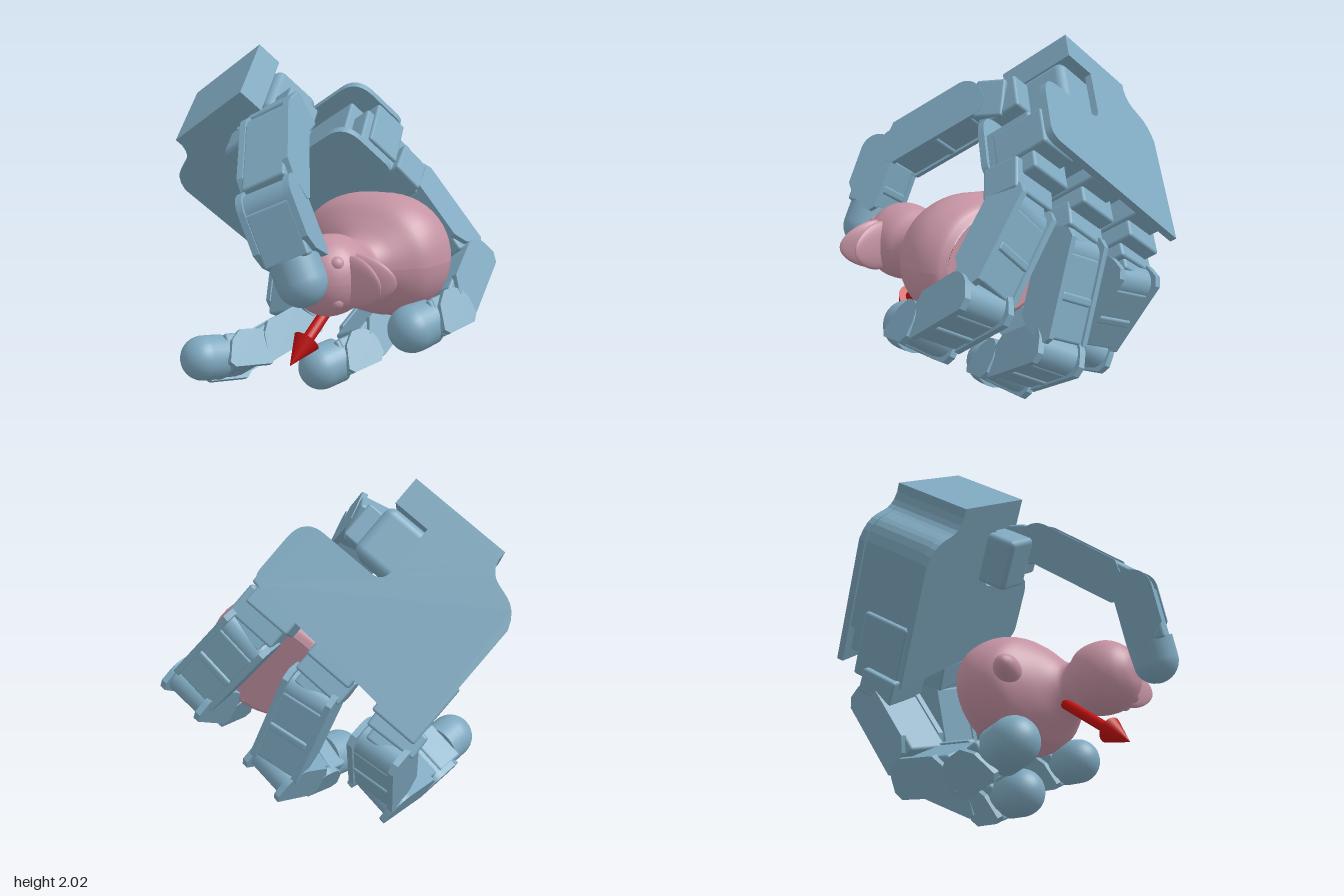
import * as THREE from 'three';
import { RoundedBoxGeometry } from 'three/addons/geometries/RoundedBoxGeometry.js';

const V = (x, y, z) => new THREE.Vector3(x, y, z);
const blue = new THREE.MeshStandardMaterial({ color: 0x7fa9c0 });
const pink = new THREE.MeshStandardMaterial({ color: 0xc593a3 });
const red = new THREE.MeshStandardMaterial({ color: 0xc01010 });

// Hand axes: lateral, towards the wrist, out of the palm
const lateral = V(0.845, 0.534, 0).normalize();
const palmOut = V(0.326, -0.515, 0.79).normalize();
const wristward = palmOut.clone().cross(lateral).normalize();
const thumbHinge = V(0.82, 0.45, -0.33).normalize();

function add(parent, name, geometry, material, x = 0, y = 0, z = 0) {
  const mesh = new THREE.Mesh(geometry, material);
  mesh.name = name;
  mesh.position.set(x, y, z);
  parent.add(mesh);
  return mesh;
}

// Box given by its min and max corners
function span(parent, name, [x0, x1], [y0, y1], [z0, z1], r = 0.015) {
  const geometry = new RoundedBoxGeometry(x1 - x0, y1 - y0, z1 - z0, 2, r);
  return add(parent, name, geometry, blue, (x0 + x1) / 2, (y0 + y1) / 2, (z0 + z1) / 2);
}

// Group at p whose y axis points to q, with x along the hinge
function frame(parent, name, p, q, hinge) {
  const g = new THREE.Group();
  const d = q.clone().sub(p).normalize();
  const w = hinge.clone().addScaledVector(d, -hinge.dot(d)).normalize();
  g.quaternion.setFromRotationMatrix(new THREE.Matrix4().makeBasis(w, d, w.clone().cross(d)));
  g.position.copy(p);
  g.name = name;
  parent.add(g);
  return g;
}

// Plain block that joins a finger to the palm
function knuckle(parent, p, q, hinge) {
  const g = frame(parent, 'knuckle', p, q, hinge), l = p.distanceTo(q);
  span(g, 'knuckleBlock', [-0.15, 0.15], [-0.04, l - 0.06], [-0.11, 0.11]);
  span(g, 'knuckleCore', [-0.11, 0.11], [0, l], [-0.09, 0.09]);
}

// Finger segment: two cheeks round the hinge, a motor between them
function segment(parent, name, p, q, hinge, cut = 0.07) {
  const g = frame(parent, name, p, q, hinge), l = p.distanceTo(q), t = 0.112;
  const s = new THREE.Shape();
  s.moveTo(t, 0);
  s.lineTo(t, l - cut - 0.09);
  s.lineTo(t - 0.06, l - cut - 0.02);
  s.lineTo(-t + 0.03, l - cut + 0.03);
  s.lineTo(-t, l - cut);
  s.lineTo(-t, -0.07);
  s.lineTo(-0.07, -t);
  s.lineTo(0, -t);
  s.absarc(0, 0, t, Math.PI * 1.5, Math.PI * 2);
  const cheek = new THREE.ExtrudeGeometry(s, { depth: 0.035, bevelEnabled: false, curveSegments: 10 });
  cheek.rotateY(Math.PI / 2);
  add(g, 'cheek', cheek, blue, 0.117);
  add(g, 'cheek', cheek, blue, -0.152);
  span(g, 'motor', [-0.125, 0.125], [0.01, l - cut], [-0.104, 0.1]);
  span(g, 'motorRidge', [-0.12, 0.12], [l * 0.4, l * 0.4 + 0.05], [-0.1, 0.112]);
  const pin = new THREE.CylinderGeometry(0.095, 0.095, 0.3, 20).rotateZ(Math.PI / 2);
  add(g, 'hingePin', pin, blue);
}

// Last segment with a round rubber tip centred on q
function fingertip(parent, p, q, hinge) {
  const l = p.distanceTo(q), r = 0.132;
  segment(parent, 'lastSegment', p, q, hinge, 0.11);
  const g = frame(parent, 'fingertip', p, q, hinge);
  add(g, 'tipBall', new THREE.SphereGeometry(r, 28, 18), blue, 0, l);
  add(g, 'tipSleeve', new THREE.CylinderGeometry(r, r, 0.12, 28), blue, 0, l - 0.06);
}

function finger(parent, name, points, hinge = lateral) {
  const g = new THREE.Group();
  g.name = name;
  parent.add(g);
  const n = points.length - 1;
  knuckle(g, points[0], points[1], hinge);
  for (let i = 1; i < n - 1; i++) segment(g, 'segment', points[i], points[i + 1], hinge);
  fingertip(g, points[n - 1], points[n], hinge);
}

function makePalm() {
  const palm = new THREE.Group();
  palm.name = 'palm';
  palm.quaternion.setFromRotationMatrix(new THREE.Matrix4().makeBasis(lateral, wristward, palmOut));

  // L-shaped plate outline with a notch for the thumb
  const s = new THREE.Shape();
  s.moveTo(-0.085, 0.41);
  s.lineTo(0.98, 0.48);
  s.quadraticCurveTo(1.06, 0.485, 1.06, 0.56);
  s.lineTo(1.06, 0.76);
  s.quadraticCurveTo(1.06, 0.9, 0.93, 0.9);
  s.lineTo(0.62, 0.9);
  s.quadraticCurveTo(0.545, 0.9, 0.545, 0.98);
  s.lineTo(0.545, 1.27);
  s.lineTo(0.755, 1.27);
  s.lineTo(0.755, 1.41);
  s.lineTo(0.176, 1.41);
  s.lineTo(0.176, 1.36);
  s.bezierCurveTo(0.14, 1.2, -0.02, 1.32, -0.085, 1.12);
  const plate = new THREE.ExtrudeGeometry(s, { depth: 0.04, bevelEnabled: false, curveSegments: 10 });
  add(palm, 'backPlate', plate, blue, 0, 0, -1.265);
  add(palm, 'frontPlate', plate, blue, 0, 0, -0.85);

  // Side wall follows the curved edge
  const w = new THREE.Shape();
  w.moveTo(-0.07, 0.62);
  w.lineTo(0.5, 0.62);
  w.lineTo(0.5, 1.3);
  w.lineTo(0.176, 1.36);
  w.bezierCurveTo(0.14, 1.2, -0.005, 1.32, -0.07, 1.12);
  const core = new THREE.ExtrudeGeometry(w, { depth: 0.4, bevelEnabled: false, curveSegments: 10 });
  add(palm, 'sideBody', core, blue, 0, 0, -1.24);
  add(palm, 'wristBlock', new THREE.BoxGeometry(0.579, 0.16, 0.455), blue, 0.4655, 1.33, -1.0375);
  span(palm, 'indexBody', [0.45, 0.93], [0.56, 0.8], [-1.23, -0.84]);

  // Stepped finger motors between the plates
  for (const x of [0.04, 0.48, 0.9]) {
    span(palm, 'fingerMotor', [x - 0.14, x + 0.14], [0.38, 0.75], [-1.13, -0.84]);
    span(palm, 'motorStep', [x - 0.09, x + 0.16], [0.48, 0.7], [-1.22, -0.9]);
  }
  // Thumb motors in the notch
  span(palm, 'thumbMotor', [0.48, 0.78], [0.93, 1.24], [-1.22, -0.86], 0.05);
  span(palm, 'thumbMotorFront', [0.47, 0.7], [0.95, 1.24], [-1.0, -0.64], 0.03);
  span(palm, 'thumbMount', [0.65, 0.9], [0.98, 1.2], [-0.98, -0.7]);
  return palm;
}

// Duck body, neck and head as one loft along z: [z, centre x, radius x, radius y]
function makeDuck() {
  const duck = new THREE.Group();
  duck.name = 'duck';
  const rows = [[-0.43, 0.37, 0.36, 0.27], [-0.4, 0.365, 0.41, 0.31], [-0.3, 0.36, 0.455, 0.335],
    [-0.2, 0.36, 0.45, 0.34], [-0.1, 0.37, 0.41, 0.305], [-0.02, 0.4, 0.31, 0.235], [0.05, 0.445, 0.2, 0.17],
    [0.1, 0.46, 0.155, 0.15], [0.15, 0.455, 0.165, 0.165], [0.21, 0.445, 0.2, 0.2], [0.3, 0.44, 0.215, 0.215],
    [0.38, 0.44, 0.205, 0.207], [0.46, 0.44, 0.155, 0.16], [0.51, 0.44, 0.085, 0.09], [0.528, 0.44, 0.001, 0.001]];
  const curves = [1, 2, 3].map(k => new THREE.CatmullRomCurve3(rows.map(r => V(r[0], r[k], 0))));
  const geometry = new THREE.PlaneGeometry(1, 1, 48, 56);
  const pos = geometry.attributes.position, uv = geometry.attributes.uv;
  for (let i = 0; i < pos.count; i++) {
    const a = uv.getX(i) * Math.PI * 2;
    const [c, rx, ry] = curves.map(k => k.getPoint(uv.getY(i)));
    // The breast is fuller than the tail end
    const full = 1 + 0.8 * Math.max(0, Math.cos(a)) * Math.max(0, rx.y - 0.25);
    pos.setXYZ(i, c.y + rx.y * Math.cos(a), 0.857 + ry.y * full * Math.sin(a), c.x);
  }
  geometry.computeVertexNormals();
  add(duck, 'duckBody', geometry, pink);
  const base = new THREE.CircleGeometry(1, 48).rotateX(Math.PI).scale(0.36, 0.28, 1);
  add(duck, 'duckBase', base, pink, 0.37, 0.857, -0.43);

  // Upturned tail
  const tail = add(duck, 'tail', new THREE.SphereGeometry(1, 24, 16), pink, 0.03, 0.865, -0.08);
  tail.scale.set(0.16, 0.08, 0.08);
  tail.rotation.y = 0.45;

  // Open beak: two lobes bent apart, thinner towards the tips
  for (const side of [1, -1]) {
    const g = new THREE.SphereGeometry(1, 28, 16).scale(0.17, 0.14, 0.06);
    const p = g.attributes.position;
    for (let i = 0; i < p.count; i++) {
      const k = (p.getX(i) + 0.17) / 0.34;
      p.setZ(i, p.getZ(i) * (1 - 0.6 * k) + side * 0.06 * k * k);
      p.setY(i, p.getY(i) * (1.15 - 0.4 * k));
    }
    g.computeVertexNormals();
    add(duck, side > 0 ? 'upperBeak' : 'lowerBeak', g, pink, 0.65, 0.86, 0.325 + side * 0.015);
    add(duck, 'eye', new THREE.SphereGeometry(0.042, 18, 12), pink, 0.56, 0.857 + side * 0.1, 0.415);
  }
  return duck;
}

function makeArrow() {
  const arrow = new THREE.Group();
  arrow.name = 'arrow';
  const from = V(0.39, 0.87, -0.1), tip = V(0.34, 0.39, 0.52), l = from.distanceTo(tip);
  arrow.position.copy(from);
  arrow.quaternion.setFromUnitVectors(V(0, 1, 0), tip.clone().sub(from).normalize());
  add(arrow, 'arrowShaft', new THREE.CylinderGeometry(0.032, 0.032, l - 0.16, 20), red, 0, (l - 0.16) / 2);
  add(arrow, 'arrowHead', new THREE.ConeGeometry(0.075, 0.17, 24), red, 0, l - 0.085);
  return arrow;
}

export function createModel() {
  const model = new THREE.Group();
  model.name = 'robotHandHoldingDuck';
  model.add(makePalm(), makeDuck(), makeArrow());
  // Joint positions from knuckle to tip
  finger(model, 'indexFinger', [V(0.3, 1.28, -0.48), V(0.4, 1.13, -0.59), V(0.72, 0.75, -0.63), V(0.77, 0.54, -0.31), V(0.72, 0.51, -0.08)]);
  finger(model, 'middleFinger', [V(-0.07, 1.0, -0.49), V(0.01, 0.88, -0.59), V(0.21, 0.38, -0.63), V(0.2, 0.2, -0.28), V(0.13, 0.165, -0.06)]);
  finger(model, 'ringFinger', [V(-0.47, 0.76, -0.49), V(-0.41, 0.65, -0.59), V(-0.31, 0.24, -0.37), V(-0.36, 0.165, 0.04), V(-0.44, 0.21, 0.33)]);
  finger(model, 'thumb', [V(-0.08, 1.6, 0.02), V(0, 1.58, 0.2), V(0.31, 1.27, 0.62), V(0.49, 0.9, 0.62)], thumbHinge);
  return model;
}
